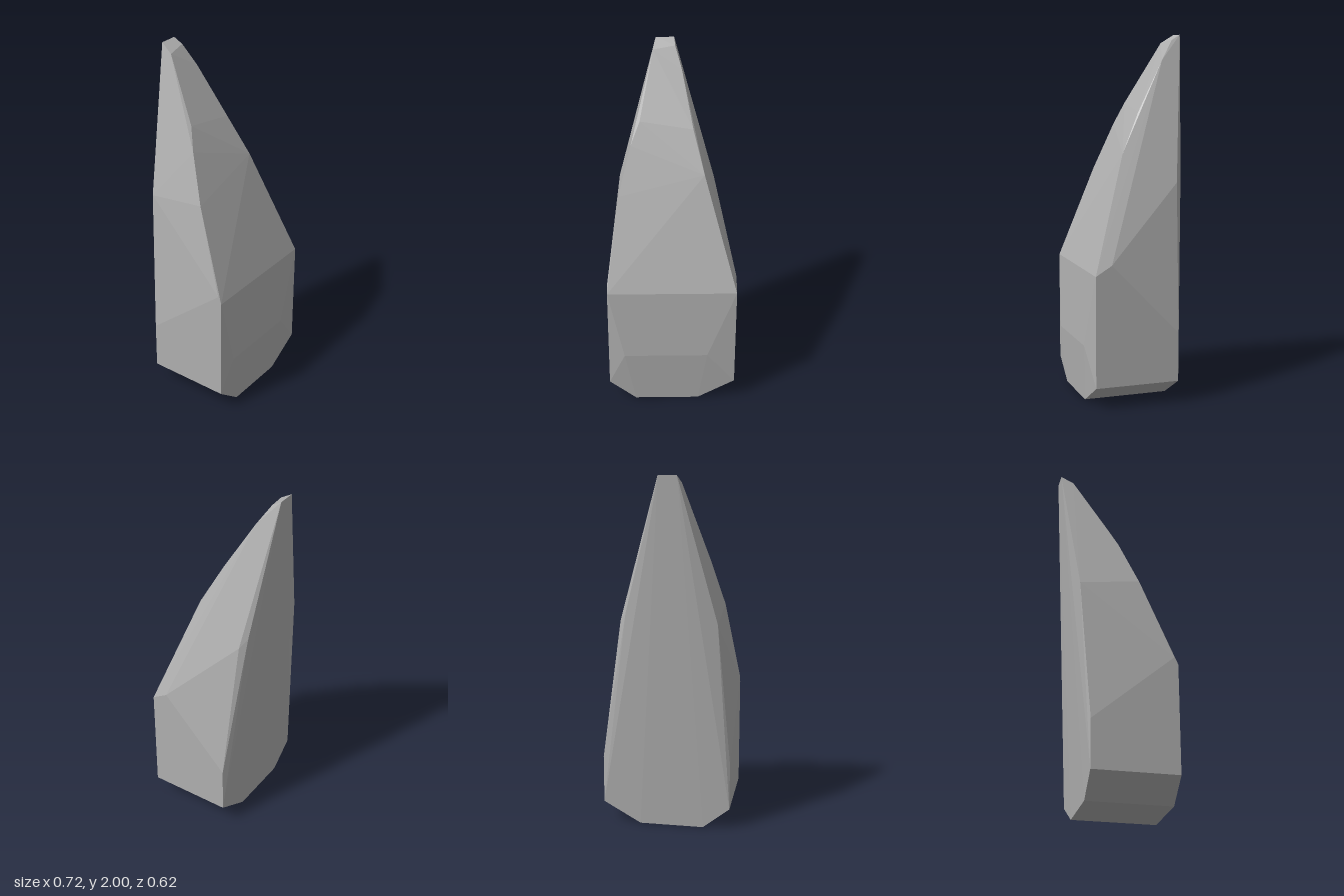
import * as THREE from 'three';
import { ConvexGeometry } from 'three/addons/geometries/ConvexGeometry.js';

export function createModel() {
  const group = new THREE.Group();
  group.name = 'crystalShard';
  const stone = new THREE.MeshStandardMaterial({ color: 0xb0b0b0 });
  stone.name = 'grey stone';

  const points = [];
  const add = (x, y, z) => points.push(new THREE.Vector3(x, y, z));

  // Foot and chamfered lower corners, the same outline front and back
  for (const z of [0.29, -0.18]) {
    add(-0.21, 0, z);
    add(0.15, 0, z);
    add(-0.36, 0.12, z);
    add(0.36, 0.12, z);
  }

  // Slight bulge of the front face
  add(-0.27, 0.32, 0.31);
  add(0.2, 0.32, 0.31);

  // Shoulders where the upright sides end
  for (const s of [-1, 1]) {
    add(s * 0.36, 0.73, 0.29);
    add(s * 0.36, 0.39, -0.18);
  }
  add(-0.36, 0.77, 0.27);
  add(0.36, 0.785, 0.2);

  // Left and right edges of the curved front slope
  add(-0.29, 1.24, 0.1);
  add(-0.22, 1.5, 0);
  add(-0.17, 1.62, -0.05);
  add(-0.095, 1.955, -0.24);
  add(0.18, 1.36, 0.08);
  add(0.12, 1.58, -0.03);
  add(0.06, 1.86, -0.19);
  add(0.025, 1.97, -0.26);

  // Back edges and narrow chamfer
  add(-0.29, 1.2, -0.23);
  add(0.245, 1.2, -0.21);
  add(0.21, 1.25, -0.245);

  // Blunt tip
  add(-0.08, 2, -0.31);
  add(0.02, 2, -0.31);

  const shard = new THREE.Mesh(new ConvexGeometry(points), stone);
  shard.name = 'shard';
  group.add(shard);
  return group;
}
